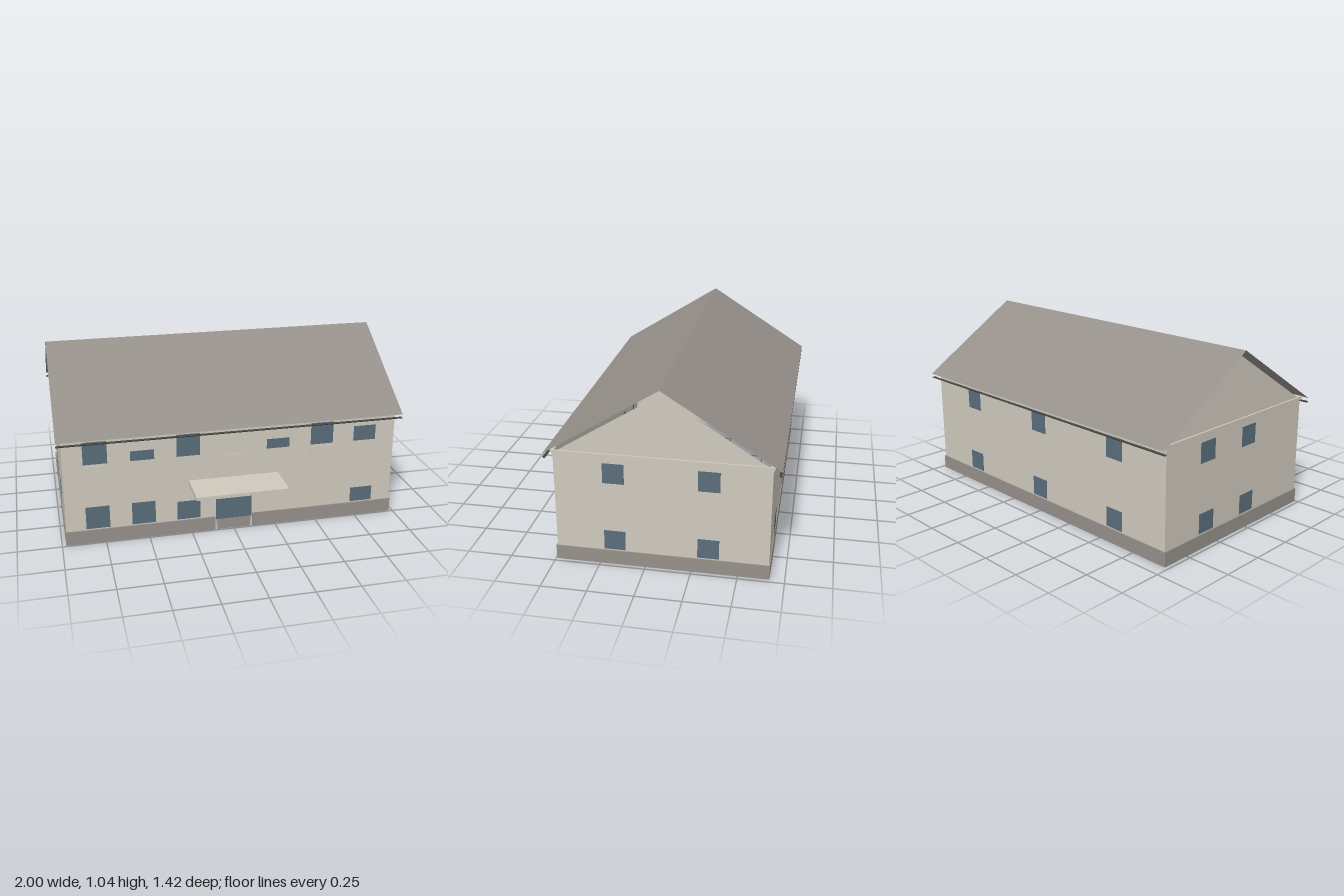
import * as THREE from 'three';

const mat = (name, color, side = THREE.FrontSide) => {
  const m = new THREE.MeshStandardMaterial({ color, side });
  m.name = name;
  return m;
};

export function createModel() {
  const model = new THREE.Group();
  model.name = 'house';
  const wall = mat('cream render', 0xcfcabd, THREE.DoubleSide);
  const stone = mat('grey stone', 0x96908a, THREE.DoubleSide);
  const glass = mat('blue glass', 0x5a6d7b);
  const metal = mat('dark metal', 0x4a4a4a, THREE.DoubleSide);

  const X = 0.972, ZF = 0.487, ZB = -0.665, RIDGE = -0.09, EAVE = 0.641;

  const add = (name, geometry, material, parent = model) => {
    const mesh = new THREE.Mesh(geometry, material);
    mesh.name = name;
    parent.add(mesh);
    return mesh;
  };
  // Box given by its limits on each axis
  const box = (name, x0, x1, y0, y1, z0, z1, material, parent) =>
    add(name, new THREE.BoxGeometry(x1 - x0, y1 - y0, z1 - z0), material, parent)
      .position.set((x0 + x1) / 2, (y0 + y1) / 2, (z0 + z1) / 2);

  // Front wall with a doorway, plain back wall, pentagonal gable walls
  const frontShape = new THREE.Shape([
    [-X, 0], [-0.107, 0], [-0.107, 0.228], [0.107, 0.228], [0.107, 0],
    [X, 0], [X, EAVE], [-X, EAVE],
  ].map(p => new THREE.Vector2(...p)));
  add('frontWall', new THREE.ShapeGeometry(frontShape), wall).position.z = ZF;

  const back = add('backWall', new THREE.PlaneGeometry(2 * X, EAVE), wall);
  back.position.set(0, EAVE / 2, ZB);
  back.rotation.y = Math.PI;

  const gable = new THREE.Shape([
    [-ZF, 0], [-ZB, 0], [-ZB, EAVE], [-RIDGE, 1.004], [-ZF, EAVE],
  ].map(p => new THREE.Vector2(...p)));
  for (const s of [1, -1]) {
    const geo = new THREE.ShapeGeometry(gable);
    if (s < 0) geo.scale(-1, 1, 1);
    const g = add(s > 0 ? 'leftGable' : 'rightGable', geo, wall);
    g.position.x = s * X;
    g.rotation.y = s * Math.PI / 2;
  }

  // Plinth, with a gap for the entrance
  const plinth = new THREE.Group();
  plinth.name = 'plinth';
  model.add(plinth);
  for (const s of [1, -1]) {
    box('plinthSide', s > 0 ? X : -0.978, s > 0 ? 0.978 : -X, 0, 0.083, -0.67, 0.494, stone, plinth);
    box('plinthFront', s > 0 ? 0.112 : -0.978, s > 0 ? 0.978 : -0.112, 0, 0.083, ZF, 0.494, stone, plinth);
  }
  box('plinthBack', -0.978, 0.978, 0, 0.083, -0.67, ZB, stone, plinth);

  // Cornice band around the top of the walls
  const cornice = new THREE.Group();
  cornice.name = 'cornice';
  model.add(cornice);
  for (const [y0, y1, d] of [[0.648, 0.659, 0.01], [0.638, 0.648, 0.005]]) {
    box('corniceFront', -X - d, X + d, y0, y1, ZF - 0.01, ZF + d, wall, cornice);
    box('corniceBack', -X - d, X + d, y0, y1, ZB - d, ZB + 0.01, wall, cornice);
    for (const s of [1, -1]) {
      const a = s * X, b = s * (X + d);
      box('corniceSide', Math.min(a, b), Math.max(a, b), y0, y1, ZB - d, ZF + d, wall, cornice);
    }
  }

  // Two thin roof slopes and the gutters under their eaves
  for (const s of [1, -1]) {
    const zEave = RIDGE + s * 0.622, run = 0.622, rise = 0.392;
    const slope = add(s > 0 ? 'frontRoof' : 'backRoof',
      new THREE.PlaneGeometry(2, Math.hypot(run, rise)), stone);
    slope.rotation.order = 'YXZ';
    slope.rotation.y = s > 0 ? 0 : Math.PI;
    slope.rotation.x = -Math.atan2(run, rise);
    slope.position.set(0, 0.645 + rise / 2, (RIDGE + zEave) / 2);

    const gutter = add(s > 0 ? 'frontGutter' : 'backGutter',
      new THREE.CylinderGeometry(0.008, 0.008, 2, 8, 1, true, -Math.PI / 2, Math.PI), metal);
    gutter.geometry.rotateX(Math.PI / 2).rotateY(Math.PI / 2);
    gutter.position.set(0, 0.626, zEave - s * 0.008);
  }

  // Windows: thin plates on each wall
  const windows = new THREE.Group();
  windows.name = 'windows';
  model.add(windows);
  const T = 0.002;
  const frontWindows = [
    [-0.858, 0.487, 0.62], [-0.596, 0.487, 0.545], [-0.334, 0.487, 0.62],
    [0.192, 0.487, 0.545], [0.457, 0.487, 0.62], [0.72, 0.487, 0.578],
    [-0.858, 0.09, 0.225], [-0.596, 0.09, 0.225], [-0.334, 0.09, 0.203], [0.72, 0.09, 0.18],
  ];
  for (const [x, y0, y1] of frontWindows)
    box('frontWindow', x, x + 0.135, y0, y1, ZF, ZF + T, glass, windows);

  for (const [y0, y1] of [[0.487, 0.602], [0.09, 0.203]]) {
    for (const x of [-0.61, 0, 0.61])
      box('backWindow', x - 0.058, x + 0.058, y0, y1, ZB - T, ZB, glass, windows);
    for (const z of [0.165, -0.341])
      box('leftWindow', X, X + T, y0, y1, z - 0.058, z + 0.058, glass, windows);
    for (const z of [0.005, -0.341])
      box('rightWindow', -X - T, -X, y0, y1, z - 0.058, z + 0.058, glass, windows);
  }
  box('innerPane', 0.11, 0.27, 0.09, 0.225, ZF - T, ZF - 0.0005, glass, windows);

  // Slim panels below some upper windows
  for (const [x0, x1] of [[-0.858, -0.723], [0.457, 0.592], [-0.06, 0.06]])
    box('wallPanel', x0, x1, 0.41, 0.475, ZF, ZF + 0.005, wall);

  // Entrance: door glass, threshold and canopy
  box('doorGlass', -0.107, 0.107, 0.065, 0.228, ZF - T, ZF + T, glass);
  box('threshold', -0.098, 0.098, 0, 0.065, ZF - 0.004, ZF + 0.004, stone);
  box('canopy', -0.267, 0.263, 0.312, 0.332, ZF, 0.712, wall);

  return model;
}
